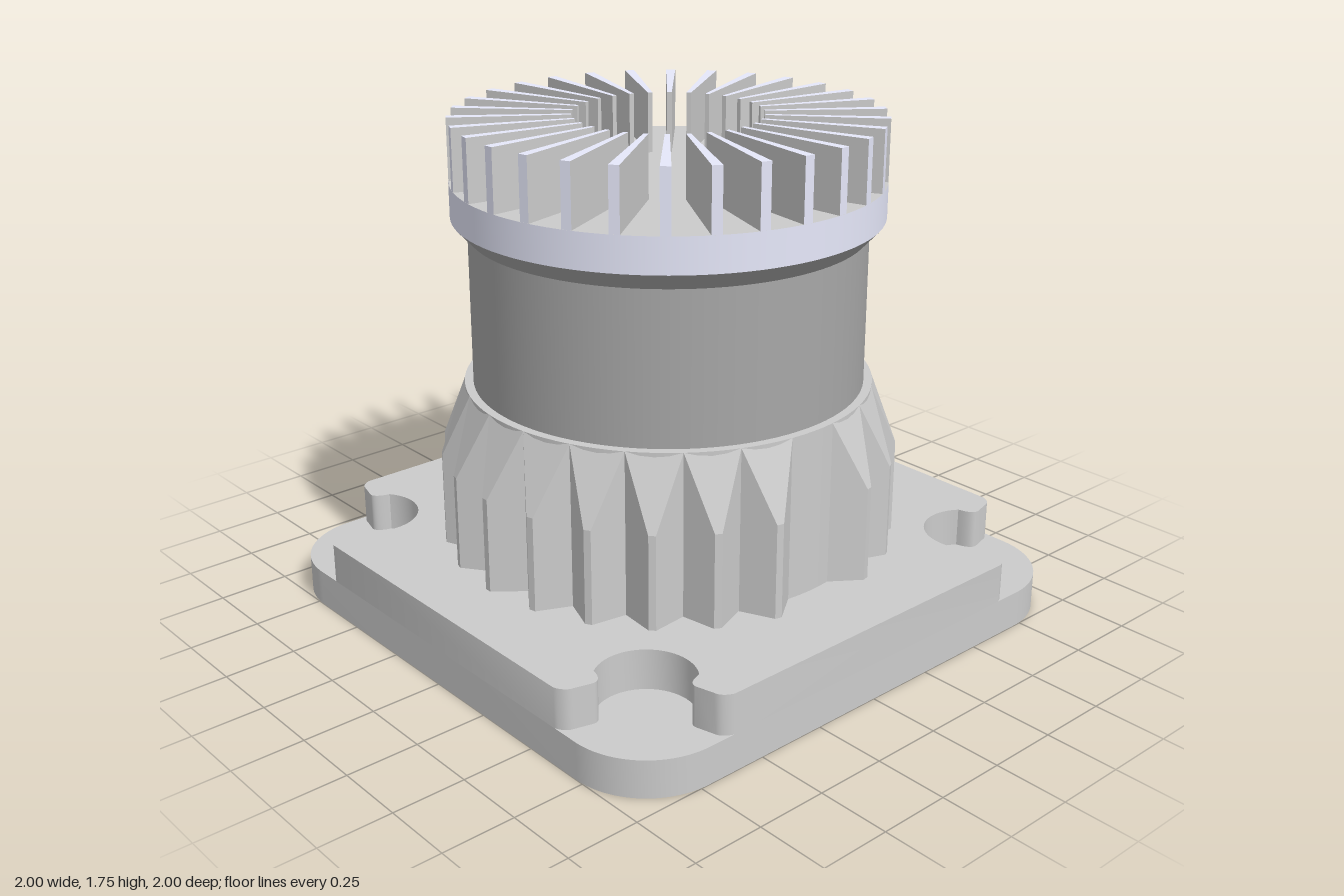
import * as THREE from 'three';
import { toCreasedNormals } from 'three/addons/utils/BufferGeometryUtils.js';

const material = (color) => new THREE.MeshStandardMaterial({ color });

// Plate outline extruded upwards from y0 to y1
function plate(shape, y0, y1) {
  const geo = new THREE.ExtrudeGeometry(shape, { depth: y1 - y0, bevelEnabled: false, curveSegments: 20 });
  geo.rotateX(-Math.PI / 2);
  geo.translate(0, y0, 0);
  return toCreasedNormals(geo, 0.6);
}

// Block along +x whose inner and outer ends have their own radius, half width and top
function taperedBlock(bottom, inner, outer) {
  const geo = new THREE.BoxGeometry(1, 1, 1);
  const p = geo.attributes.position;
  for (let i = 0; i < p.count; i++) {
    const end = p.getX(i) > 0 ? outer : inner;
    p.setXYZ(i, end.r, p.getY(i) > 0 ? end.top : bottom, Math.sign(p.getZ(i)) * end.w);
  }
  geo.computeVertexNormals();
  return geo;
}

function roundedSquare(h, r) {
  const s = new THREE.Shape();
  const c = h - r;
  s.absarc(c, c, r, 0, Math.PI / 2);
  s.absarc(-c, c, r, Math.PI / 2, Math.PI);
  s.absarc(-c, -c, r, Math.PI, Math.PI * 1.5);
  s.absarc(c, -c, r, Math.PI * 1.5, Math.PI * 2);
  s.closePath();
  return s;
}

// Square whose corners are cut away around round screw pockets
function pocketedSquare() {
  const v = (x, y) => new THREE.Vector2(x, y);
  const half = [
    ...new THREE.QuadraticBezierCurve(v(1, 0.62), v(0.985, 0.66), v(0.955, 0.663)).getPoints(6),
    ...new THREE.QuadraticBezierCurve(v(0.9, 0.678), v(0.865, 0.688), v(0.85, 0.625)).getPoints(8),
  ];
  const a0 = -0.94, a1 = -Math.PI * 0.75;
  for (let i = 1; i <= 14; i++) {
    const a = a0 + (a1 - a0) * i / 14;
    half.push(v(0.755 + 0.161 * Math.cos(a), 0.755 + 0.161 * Math.sin(a)));
  }
  const corner = [...half, ...half.slice(0, -1).reverse().map((p) => v(p.y, p.x))];
  const points = [];
  for (let k = 0; k < 4; k++) {
    for (const p of corner) points.push(p.clone().rotateAround(v(0, 0), k * Math.PI / 2));
  }
  return new THREE.Shape(points);
}

export function createModel() {
  const model = new THREE.Group();
  model.name = 'finnedHousing';
  const grey = material(0xcccccc);
  const dark = material(0xa7a7a7);
  const pale = material(0xe6e8fa);

  function add(name, geo, mat, parent = model) {
    const mesh = new THREE.Mesh(geo, mat);
    mesh.name = name;
    parent.add(mesh);
    return mesh;
  }
  function drum(name, rBottom, rTop, y0, y1, mat, open = false) {
    const geo = new THREE.CylinderGeometry(rTop, rBottom, y1 - y0, 96, 1, open);
    add(name, geo, mat).position.y = (y0 + y1) / 2;
  }

  // Mounting base
  add('basePlate', plate(roundedSquare(1, 0.28), 0, 0.13), grey);
  add('pocketedPlate', plate(pocketedSquare(), 0.13, 0.27), grey);

  // Stacked round body
  drum('collar', 0.7, 0.7, 0.27, 0.84, grey);
  drum('body', 0.67, 0.67, 0.84, 1.36, dark);
  drum('flangeChamfer', 0.67, 0.725, 1.36, 1.42, dark);
  drum('flangeBand', 0.725, 0.725, 1.42, 1.54, pale, true);
  add('flangeTop', new THREE.CircleGeometry(0.725, 96).rotateX(-Math.PI / 2), grey).position.y = 1.54;

  // Grip teeth every 15 degrees, left out at one side and over a wider gap opposite
  const teeth = new THREE.Group();
  teeth.name = 'gripTeeth';
  model.add(teeth);
  const toothGeo = taperedBlock(0.27, { r: 0.694, w: 0.0914, top: 0.84 }, { r: 0.79, w: 0.012, top: 0.6 });
  for (let i = 0; i < 24; i++) {
    if ([0, 11, 12, 13].includes(i)) continue;
    add('gripTooth', toothGeo, grey, teeth).rotation.y = i * Math.PI / 12;
  }

  // Radial cooling fins, pale on their ends and tops
  const fins = new THREE.Group();
  fins.name = 'coolingFins';
  model.add(fins);
  const finGeo = taperedBlock(1.54, { r: 0.318, w: 0.008, top: 1.75 }, { r: 0.724, w: 0.017, top: 1.75 });
  const finMaterials = [pale, grey, pale, grey, grey, grey];
  for (let i = 0; i < 30; i++) {
    add('coolingFin', finGeo, finMaterials, fins).rotation.y = (i + 0.5) * Math.PI / 15;
  }
  return model;
}
